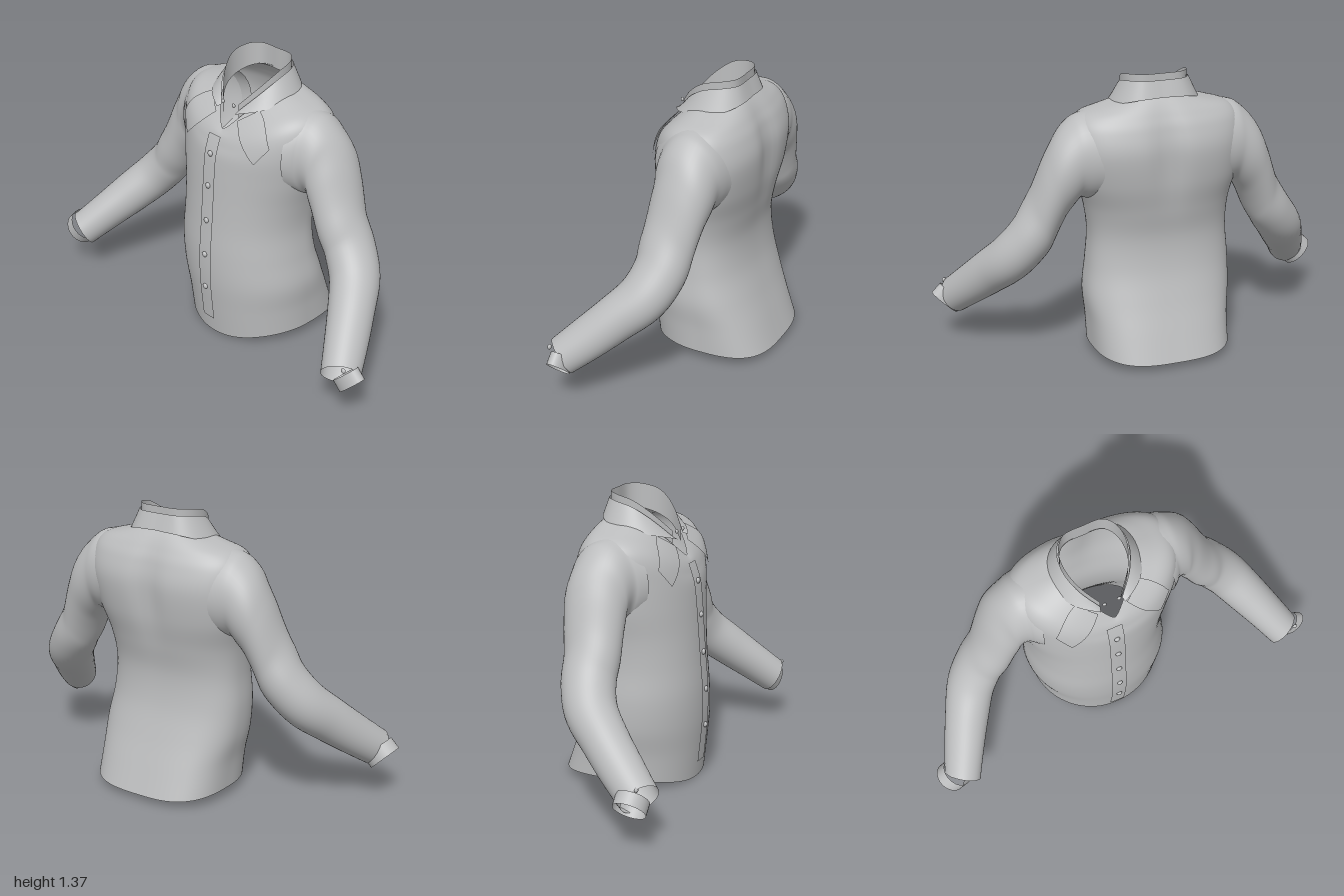
import * as THREE from 'three';

const fabric = new THREE.MeshStandardMaterial({ color: 0xbcbdbe, side: THREE.DoubleSide });
fabric.name = 'grey fabric';

// Smoothly interpolates a table of numeric rows, u from 0 to 1
function sample(rows, u) {
  const f = u * (rows.length - 1), i = Math.min(Math.floor(f), rows.length - 2), t = f - i;
  const at = (k) => rows[Math.max(0, Math.min(rows.length - 1, k))];
  const [a, b, c, d] = [at(i - 1), at(i), at(i + 1), at(i + 2)];
  return b.map((p, k) => {
    const m0 = (c[k] - a[k]) / 2, m1 = (d[k] - p) / 2, e = c[k] - p;
    return p + t * (m0 + t * (3 * e - 2 * m0 - m1 + t * (m0 + m1 - 2 * e)));
  });
}

// Skins a grid of points fn(u, v) -> [x, y, z]; closed wraps v
function loft(fn, nu, nv, closed = false) {
  const pos = [], idx = [], cols = closed ? nv : nv + 1;
  for (let i = 0; i <= nu; i++) for (let j = 0; j < cols; j++) pos.push(...fn(i / nu, j / nv));
  for (let i = 0; i < nu; i++) for (let j = 0; j < nv; j++) {
    const a = i * cols + j, b = i * cols + (j + 1) % cols, c = a + cols, d = b + cols;
    idx.push(a, b, c, b, d, c);
  }
  const g = new THREE.BufferGeometry();
  g.setAttribute('position', new THREE.Float32BufferAttribute(pos, 3));
  g.setIndex(idx);
  g.computeVertexNormals();
  return g;
}

// Torso rings: y at side, front, back; half width; z front, back, side;
// front and back squareness; sideways shift
const TORSO = [
  [0.055, 0.005, 0.035, 0.33, 0.22, -0.40, -0.09, 2.1, 3, -0.005],
  [0.18, 0.15, 0.16, 0.336, 0.235, -0.355, -0.08, 2.1, 2.8, -0.007],
  [0.31, 0.3, 0.3, 0.352, 0.248, -0.305, -0.07, 2.1, 2.5, -0.014],
  [0.45, 0.45, 0.45, 0.345, 0.248, -0.262, -0.06, 2.1, 2.4, -0.025],
  [0.6, 0.6, 0.6, 0.334, 0.236, -0.25, -0.06, 2.1, 2.4, -0.025],
  [0.74, 0.74, 0.74, 0.347, 0.225, -0.275, -0.07, 2.1, 2.4, -0.018],
  [0.88, 0.87, 0.88, 0.38, 0.215, -0.305, -0.09, 2.1, 2.6, -0.01],
  [1.02, 0.96, 1.03, 0.4, 0.205, -0.318, -0.1, 2.1, 2.7, 0],
  [1.13, 1.01, 1.13, 0.395, 0.19, -0.295, -0.1, 2.1, 2.6, 0],
  [1.19, 1.04, 1.19, 0.355, 0.18, -0.265, -0.1, 2.0, 2.4, 0],
  [1.222, 1.06, 1.235, 0.265, 0.17, -0.235, -0.09, 1.7, 2.4, 0],
  [1.25, 1.08, 1.275, 0.165, 0.15, -0.2, -0.07, 1.35, 2.5, 0],
];
function torsoPoint(u, v) {
  const [ys, yf, yb, w, zf, zb, zc, nf, nb, xc] = sample(TORSO, u);
  const t = v * Math.PI * 2, c = Math.cos(t), s = Math.sin(t), n = c > 0 ? nf : nb;
  const x = w * Math.sign(s) * Math.abs(s) ** (2 / n), k = Math.abs(c) ** (2 / n);
  const y = c > 0 ? ys + (yf - ys) * c ** 3 : ys + (yb - ys) * c * c;
  // Shallow groove along the spine
  const groove = c < 0 ? 0.025 * Math.exp(-((x / 0.07) ** 2) - ((y - 1.02) / 0.2) ** 2) : 0;
  return [x + xc, y, zc + ((c > 0 ? zf : zb) - zc) * k + groove];
}

// Sleeve rings, flared into the shoulder: top x, y; bottom x, y; centre z; half depth
const SLEEVE = [
  [0.29, 1.205, 0.29, 0.8, -0.09, 0.195], [0.345, 1.2, 0.34, 0.8, -0.098, 0.168],
  [0.4, 1.18, 0.38, 0.805, -0.1, 0.152],
  [0.47, 1.11, 0.41, 0.765, -0.1, 0.146], [0.53, 1.0, 0.445, 0.7, -0.09, 0.138],
  [0.595, 0.84, 0.49, 0.6, -0.075, 0.13], [0.668, 0.71, 0.54, 0.52, -0.065, 0.124],
  [0.75, 0.6, 0.605, 0.435, -0.02, 0.118], [0.82, 0.5, 0.675, 0.35, 0.075, 0.107],
  [0.885, 0.395, 0.75, 0.265, 0.18, 0.1], [0.94, 0.305, 0.82, 0.18, 0.28, 0.09],
];
const sleeveCentre = (u) => {
  const r = sample(SLEEVE, u);
  return new THREE.Vector3((r[0] + r[2]) / 2, (r[1] + r[3]) / 2, r[4]);
};
function sleevePoint(u, v, side) {
  const r = sample(SLEEVE, u), t = v * Math.PI * 2;
  const N = new THREE.Vector3((r[0] - r[2]) / 2, (r[1] - r[3]) / 2, 0);
  const T = sleeveCentre(Math.min(1, u + 0.02)).sub(sleeveCentre(Math.max(0, u - 0.02)));
  const B = T.cross(N).normalize().multiplyScalar(r[5]);
  const p = sleeveCentre(u).addScaledVector(N, Math.cos(t)).addScaledVector(B, Math.sin(t));
  // The right forearm reaches slightly further forward
  return [p.x * side, p.y, p.z + (side < 0 ? 0.03 * u ** 4 : 0)];
}

// Collar, centre back to front tip: x, z, stand bottom y, stand top y, leaf bottom y, leaf flare
const COLLAR = [
  [0, -0.195, 1.265, 1.372, 1.268, 0.025], [0.09, -0.19, 1.265, 1.372, 1.262, 0.03],
  [0.14, -0.135, 1.25, 1.367, 1.24, 0.045], [0.148, -0.05, 1.225, 1.345, 1.22, 0.055],
  [0.115, 0.03, 1.19, 1.285, 1.195, 0.05], [0.05, 0.1, 1.13, 1.2, 1.165, 0.025],
];
function collarPoint(v, lower, leaf) {
  const q = v * 2 - 1, side = q < 0 ? -1 : 1;
  const [x, z, y0, y1, yl, flare] = sample(COLLAR, Math.abs(q));
  const out = leaf ? 0.008 + flare * lower : 0;
  const len = Math.hypot(x, z + 0.06);
  const top = leaf ? y1 - 0.03 : y1, bottom = leaf ? yl : y0;
  return [side * x * (1 + out / len), top + (bottom - top) * lower, z + (z + 0.06) * out / len];
}

export function createModel() {
  const model = new THREE.Group();
  model.name = 'shirt';
  const add = (name, geometry) => {
    const m = new THREE.Mesh(geometry, fabric);
    m.name = name;
    model.add(m);
    return m;
  };

  const torso = add('torso', loft(torsoPoint, 66, 96, true));

  // Depth of the chest surface at a front position
  const ray = new THREE.Raycaster();
  const chestZ = (x, y) => {
    ray.set(new THREE.Vector3(x, y, 1), new THREE.Vector3(0, 0, -1));
    const hit = ray.intersectObject(torso)[0];
    return hit && hit.point.z > -0.05 ? hit.point.z : 0.08;
  };

  // Collar stand and folded leaf
  add('collarStand', loft((u, v) => collarPoint(v, u, false), 4, 60));
  add('collarLeaf', loft((u, v) => collarPoint(v, u, true), 4, 60));

  // Button strip and buttons
  add('placket', loft((u, v) => {
    const x = -0.055 + 0.075 * v, y = 0.09 + 0.965 * u;
    return [x, y, chestZ(x, y) + 0.01];
  }, 40, 4));
  const button = (name, x, y, z, r) => {
    const b = add(name, new THREE.SphereGeometry(r, 14, 10));
    b.scale.z = 0.7;
    b.position.set(x, y, z);
  };
  for (const y of [0.97, 0.81, 0.63, 0.45, 0.27]) button('frontButton', -0.017, y, chestZ(-0.017, y) + 0.012, 0.014);

  // Collar points: inner and outer edges lying on the chest
  const inner = [[0.07, 1.135], [0.12, 1.085], [0.17, 1.035], [0.22, 0.985]];
  const outer = [[0.15, 1.195], [0.2, 1.17], [0.245, 1.13], [0.278, 1.068]];

  for (const side of [1, -1]) {
    const label = side > 0 ? 'left' : 'right';
    add(label + 'Sleeve', loft((u, v) => sleevePoint(u, v, side), 60, 40, true));

    add(label + 'CollarPoint', loft((u, v) => {
      const a = sample(inner, u), b = sample(outer, u);
      const x = a[0] + (b[0] - a[0]) * v, y = a[1] + (b[1] - a[1]) * v;
      return [side * x, y, chestZ(side * x, y) + 0.012];
    }, 14, 8));
    button(label + 'CollarButton', side * 0.035, 1.195, 0.115, 0.01);

    // Loose cuff band beyond the sleeve end
    const cuff = add(label + 'Cuff', new THREE.CylinderGeometry(0.082, 0.082, 0.06, 32, 1, true));
    cuff.scale.z = side > 0 ? 0.55 : 0.9;
    cuff.rotation.z = side * Math.PI / 4;
    cuff.position.set(side * 0.918, 0.23, side > 0 ? 0.268 : 0.287);
    button(label + 'CuffButton', side * 0.925, 0.305, 0.315, 0.012);
  }
  return model;
}
